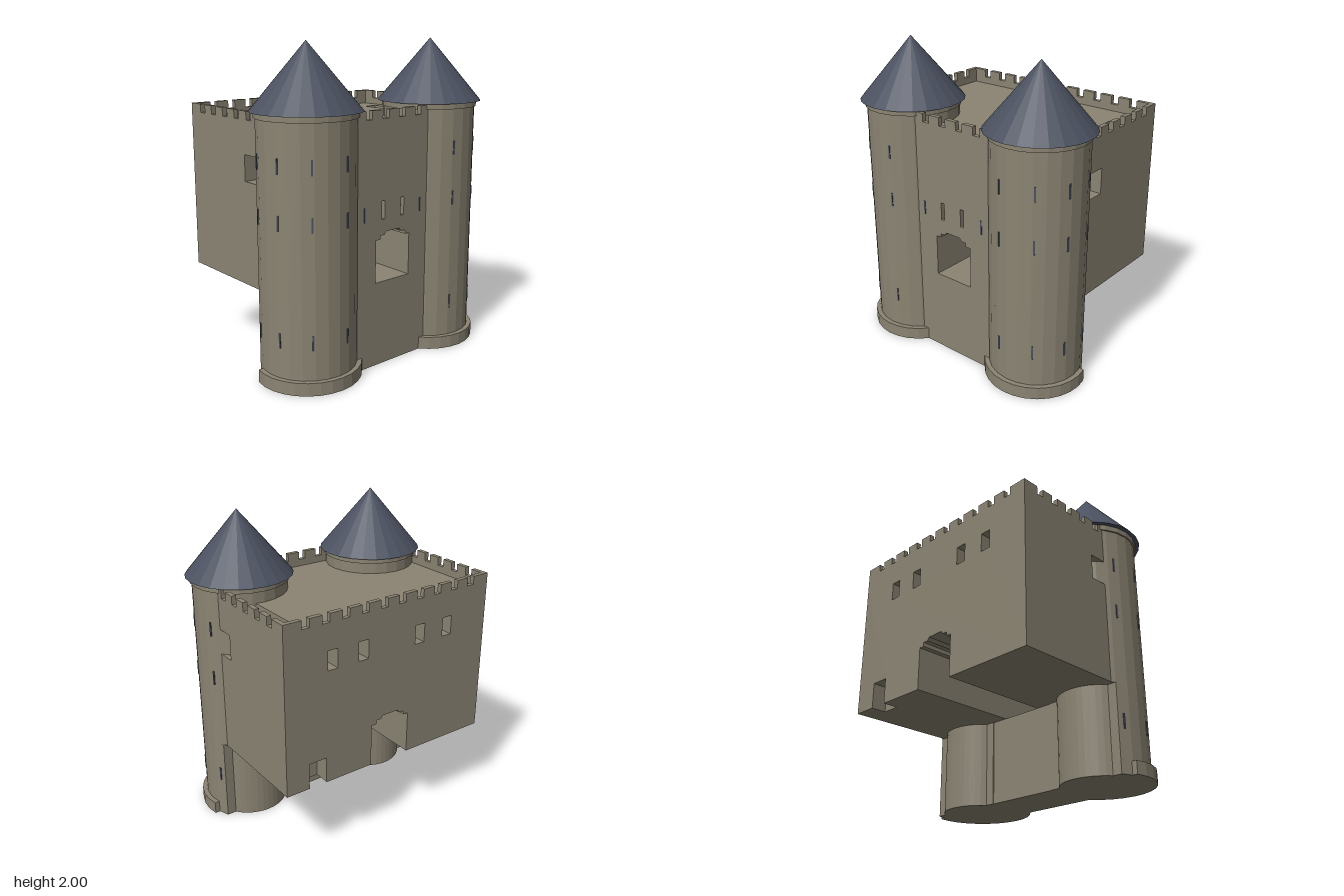
import * as THREE from 'three';

const stone = new THREE.MeshStandardMaterial({ color: 0x8b8473 });
stone.name = 'stone';
const slate = new THREE.MeshStandardMaterial({ color: 0x4b5160 });
slate.name = 'slate';

const TX = 0.505, TZ = 0.27, R = 0.295;            // tower centre and radius
const W = 0.745, BACK = -0.605, FRONT = 0.47, MID = 0.13;
const FLOOR = 0.54, EAVE = 1.44, ROOF = 1.5;

// stepped arch of the gate passage, from its left foot to its right foot
const half = [[0.14, FLOOR], [0.14, 0.81], [0.105, 0.81], [0.105, 0.835], [0.07, 0.835], [0.055, 0.855]];
const arch = [...half.map(([x, y]) => [-x, y]), ...half.slice().reverse()];

const poly = (pts, holes = []) => {
  const shape = new THREE.Shape(pts.map(([x, y]) => new THREE.Vector2(x, y)));
  shape.holes = holes.map((h) => new THREE.Path(h.map(([x, y]) => new THREE.Vector2(x, y))));
  return shape;
};
const rect = (x0, x1, y0, y1) => [[x0, y0], [x1, y0], [x1, y1], [x0, y1]];
const extrude = (shape, depth) => new THREE.ExtrudeGeometry(shape, { depth, bevelEnabled: false });

function add(parent, name, geometry, material = stone, x = 0, y = 0, z = 0) {
  const mesh = new THREE.Mesh(geometry, material);
  mesh.name = name;
  mesh.position.set(x, y, z);
  parent.add(mesh);
  return mesh;
}

function block(parent, name, x0, x1, y0, y1, z0, z1) {
  add(parent, name, new THREE.BoxGeometry(x1 - x0, y1 - y0, z1 - z0), stone,
    (x0 + x1) / 2, (y0 + y1) / 2, (z0 + z1) / 2);
}

// upright faceted drum whose back is sliced off flat at local z = cut
function slicedDrum(r, height, cut) {
  const a = Math.acos(cut / r), n = 16, pts = [];
  for (let i = 0; i <= n; i++) {
    const t = -a + (2 * a * i) / n;
    pts.push([r * Math.sin(t), -r * Math.cos(t)]);
  }
  return extrude(poly(pts), height).rotateX(-Math.PI / 2);
}

function faceted(geometry) {
  const g = geometry.toNonIndexed();
  g.computeVertexNormals();
  return g;
}

function drum(parent, name, r, y0, y1, sides = 24) {
  add(parent, name, faceted(new THREE.CylinderGeometry(r, r, y1 - y0, sides)), stone, 0, (y0 + y1) / 2, 0);
}

function makeTower(side) {
  const tower = new THREE.Group();
  tower.name = side > 0 ? 'leftTower' : 'rightTower';
  tower.position.set(side * TX, 0, TZ);
  add(tower, 'towerBase', slicedDrum(0.325, 0.08, -0.08));
  add(tower, 'lowerTower', slicedDrum(R, FLOOR, -0.145));
  drum(tower, 'towerCore', 0.245, 0, FLOOR, 40);
  drum(tower, 'upperTower', R, FLOOR, 1.58);
  drum(tower, 'towerCornice', 0.305, 1.57, 1.605);
  add(tower, 'towerRoof', faceted(new THREE.ConeGeometry(0.333, 0.395, 24)), slate, 0, 1.8025, 0);
  // three rows of arrow slits around the outer face
  for (const y of [0.31, 1.005, 1.328]) {
    for (const deg of [-12.7, 32.5, 72, 112]) {
      const t = side * THREE.MathUtils.degToRad(deg);
      const slit = add(tower, 'arrowSlit', new THREE.BoxGeometry(0.01, 0.09, 0.009), slate,
        0.294 * Math.sin(t), y, 0.294 * Math.cos(t));
      slit.rotation.y = t;
    }
  }
  return tower;
}

function makeKeep() {
  const keep = new THREE.Group();
  keep.name = 'keep';
  const inner = BACK + 0.1, side = W - 0.1;

  // core with the passage open at the bottom
  add(keep, 'keepCore', extrude(poly([[-side, FLOOR], ...arch, [side, FLOOR], [side, EAVE], [-side, EAVE]]),
    MID - inner), stone, 0, 0, inner);

  // back wall with four windows and a small doorway
  const windows = [-0.425, -0.21, 0.21, 0.425].map((x) => rect(x - 0.035, x + 0.035, 1.26, 1.38));
  const outline = [[-W, FLOOR], ...arch, [0.47, FLOOR], [0.47, 0.705], [0.59, 0.705], [0.59, FLOOR],
    [W, FLOOR], [W, EAVE], [-W, EAVE]];
  add(keep, 'backWall', extrude(poly(outline, windows), 0.1), stone, 0, 0, BACK);

  // side walls with one window each
  for (const s of [-1, 1]) {
    const wall = poly(rect(-MID, -inner, FLOOR, EAVE), [rect(-0.11, 0.015, 1.18, 1.34)]);
    add(keep, 'sideWall', extrude(wall, 0.1).rotateY(Math.PI / 2), stone, s > 0 ? side : -W);
  }

  // flat roof with the stair well sunk into it
  const roof = [[-W, -BACK], [W, -BACK], [W, -MID], [0.35, -MID], [0.35, -FRONT],
    [-0.35, -FRONT], [-0.35, -MID], [-W, -MID]];
  add(keep, 'roofSlab', extrude(poly(roof, [rect(0.56, 0.65, -0.02, 0.4)]), ROOF - EAVE)
    .rotateX(-Math.PI / 2), stone, 0, EAVE, 0);
  return keep;
}

function makeGatehouse() {
  const gate = new THREE.Group();
  gate.name = 'gatehouse';
  const wall = rect(-0.35, 0.35, 0, EAVE);
  add(gate, 'gateWall', extrude(poly(wall, [arch]), 0.29), stone, 0, 0, MID);
  const slots = [-0.081, 0.078].map((x) => rect(x - 0.013, x + 0.013, 0.935, 1.05));
  add(gate, 'gateFace', extrude(poly(wall, [arch, ...slots]), 0.05), stone, 0, 0, 0.42);
  for (const x of [-0.235, 0.232]) {
    add(gate, 'arrowSlit', new THREE.BoxGeometry(0.01, 0.09, 0.008), slate, x, 0.98, FRONT);
  }
  return gate;
}

function makeParapet() {
  const parapet = new THREE.Group();
  parapet.name = 'parapet';
  const low = 1.545, top = 1.597, t = 0.03;
  // a run lies along x or z; merlons fill the spaces between the gap centres
  const run = (from, to, gaps, place) => {
    place('parapetWall', from, to, ROOF, low);
    const edges = [from, ...gaps.flatMap((g) => [g - 0.025, g + 0.025]), to];
    for (let i = 0; i < edges.length; i += 2) place('merlon', edges[i], edges[i + 1], low, top);
  };
  const alongX = (z) => (name, a, b, y0, y1) => block(parapet, name, a, b, y0, y1, z, z + t);
  const alongZ = (x) => (name, a, b, y0, y1) => block(parapet, name, x, x + t, y0, y1, a, b);
  const backGaps = Array.from({ length: 10 }, (_, i) => (i - 4.5) * 0.134);
  const sideGaps = Array.from({ length: 5 }, (_, i) => -0.472 + i * 0.127);
  run(-W, W, backGaps, alongX(BACK));
  run(-0.3, 0.3, backGaps.slice(3, 7), alongX(FRONT - t));
  run(BACK + t, MID, sideGaps, alongZ(W - t));
  run(BACK + t, MID, sideGaps, alongZ(-W));
  return parapet;
}

export function createModel() {
  const castle = new THREE.Group();
  castle.name = 'castleGatehouse';
  castle.add(makeKeep(), makeGatehouse(), makeParapet(), makeTower(1), makeTower(-1));
  return castle;
}
